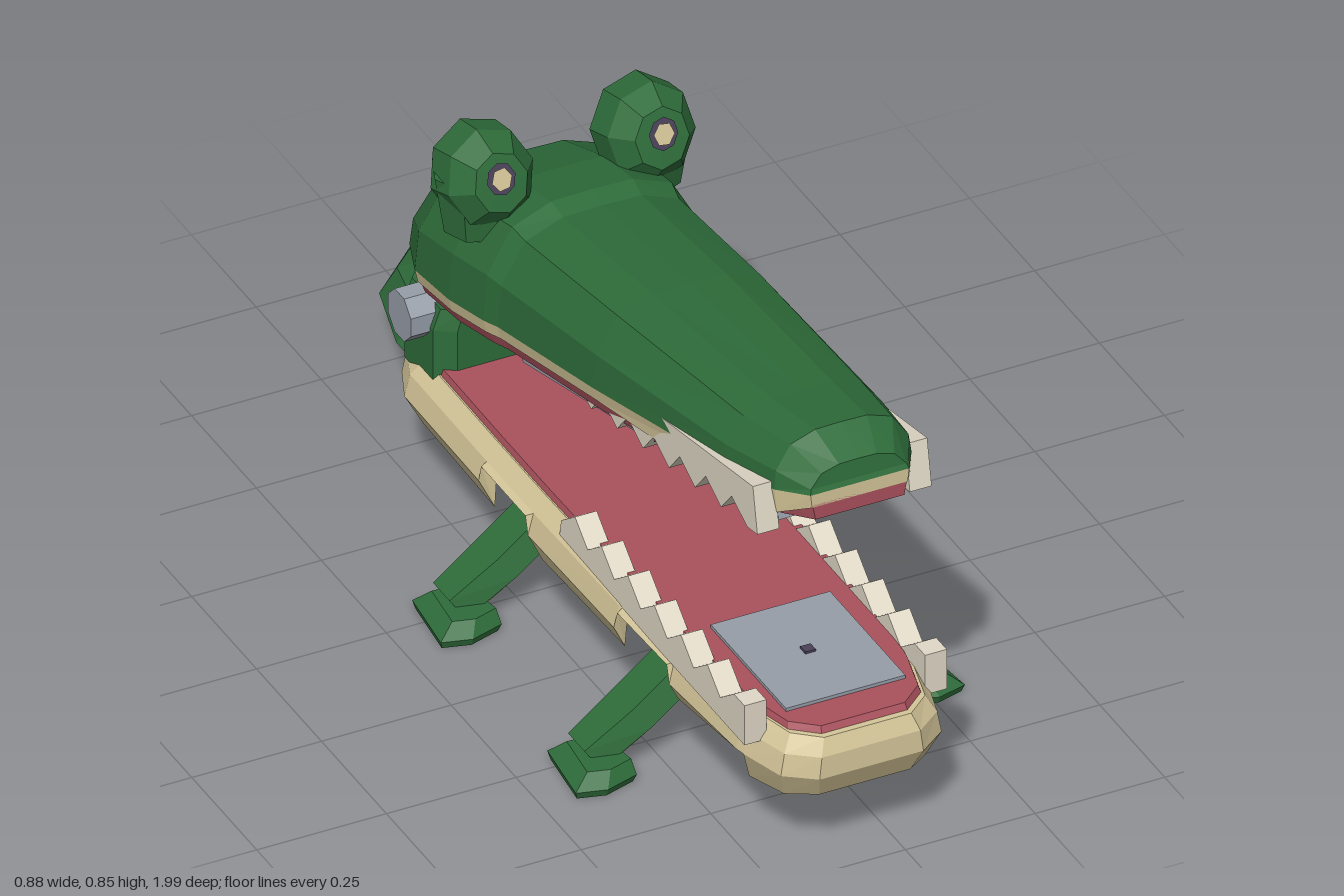
import * as THREE from 'three';

const mat = (name, color) => Object.assign(
  new THREE.MeshStandardMaterial({ color, flatShading: true, side: THREE.DoubleSide }), { name });

// Skin stretched over successive rows of [x, y, z] points
function skin(rows, closed = true, cap = false) {
  const pos = [];
  const n = rows[0].length;
  for (let r = 0; r < rows.length - 1; r++) {
    for (let i = 0; i < (closed ? n : n - 1); i++) {
      const j = (i + 1) % n, a = rows[r], b = rows[r + 1];
      pos.push(...a[i], ...a[j], ...b[j], ...a[i], ...b[j], ...b[i]);
    }
  }
  if (cap) {
    const top = rows[rows.length - 1];
    const c = [0, 1, 2].map(k => top.reduce((s, p) => s + p[k], 0) / n);
    top.forEach((p, i) => pos.push(...p, ...top[(i + 1) % n], ...c));
  }
  const g = new THREE.BufferGeometry();
  g.setAttribute('position', new THREE.Float32BufferAttribute(pos, 3));
  g.computeVertexNormals();
  return g;
}

// Mirrors one half of a plan into a full outline; first entry of each point is x
const mirror = half => [...half, ...half.slice().reverse().map(p => [-p[0], ...p.slice(1)])];

export function createModel() {
  const green = mat('green skin', 0x2e6c3a), cream = mat('cream belly', 0xd5c699),
    ivory = mat('ivory teeth', 0xe0d8c6), red = mat('red mouth', 0xa9515c),
    grey = mat('grey metal', 0x969da8), dark = mat('dark eye', 0x4a4258),
    brown = mat('brown hollow', 0x6f6450);
  const root = new THREE.Group();
  const body = new THREE.Group();
  body.name = 'crocodile';
  body.position.x = -0.065;
  root.add(body);
  const add = (name, geo, m, parent = body) => {
    const mesh = new THREE.Mesh(geo, m);
    mesh.name = name;
    parent.add(mesh);
    return mesh;
  };

  // Lower jaw: hollow shell with arches for the legs; plan entries are x, z, bottom y
  const plan = mirror([
    [0.1, 1, 0.145], [0.155, 0.96, 0.138], [0.182, 0.87, 0.13], [0.186, 0.85, 0.175],
    [0.2, 0.62, 0.15], [0.2, 0.61, 0.23], [0.205, 0.43, 0.23], [0.207, 0.42, 0.145],
    [0.212, 0.1, 0.14], [0.212, 0.09, 0.23], [0.212, -0.08, 0.23], [0.212, -0.09, 0.14],
    [0.21, -0.38, 0.145], [0.18, -0.45, 0.17], [0.11, -0.465, 0.18]]);
  const planRow = (sx, sz, y) => plan.map(([x, z, b]) => [x * sx, Math.max(y, b), 0.25 + (z - 0.25) * sz]);
  const jawBottom = planRow(0.88, 0.965, 0);
  add('lowerJaw', skin([jawBottom, planRow(1, 1, 0.195), planRow(0.95, 0.998, 0.238),
    planRow(0.84, 0.98, 0.269)], true, true), cream);
  add('chinUnderside', skin([[...jawBottom.slice(0, 3), ...jawBottom.slice(-3)]], true, true), cream);
  add('bellyHollow', skin([planRow(0.9, 0.96, 0.237)], true, true), brown);
  const tongueRow = (sx, sz, y) => planRow(sx, sz, y).map(([x, h, z]) => [x, h, Math.max(z, -0.31)]);
  add('tongue', skin([tongueRow(0.83, 0.965, 0.267), tongueRow(0.81, 0.955, 0.281)], true, true), red);
  add('lowerPlate', new THREE.BoxGeometry(0.23, 0.009, 0.29), grey).position.set(0, 0.283, 0.755);
  add('plateButton', new THREE.BoxGeometry(0.02, 0.006, 0.02), dark).position.set(0, 0.289, 0.755);

  // Upper jaw and head; entries are x, z, bottom y, top y
  const head = mirror([
    [0.095, 0.955, 0.73, 0.8], [0.132, 0.89, 0.715, 0.838], [0.155, 0.74, 0.683, 0.815],
    [0.187, 0.3, 0.588, 0.775], [0.2, -0.04, 0.514, 0.735], [0.208, -0.08, 0.506, 0.745],
    [0.215, -0.2, 0.48, 0.72], [0.205, -0.35, 0.448, 0.665], [0.165, -0.45, 0.43, 0.59],
    [0.1, -0.488, 0.425, 0.53]]);
  const headRow = (s, t, lift = 0) => head.map(([x, z, b, top]) =>
    [x * s, b + (top - b) * t + lift, 0.23 + (z - 0.23) * (1 - 0.012 * t)]);
  add('upperJaw', skin([headRow(1, 0, 0.026), headRow(0.97, 0.5), headRow(0.74, 0.86),
    headRow(0.38, 0.99), headRow(0, 1)]), green);
  // Lip: cream round the sides and deeper beside the snout, green at the back of the head
  const lipHigh = headRow(1, 0, 0.026);
  const lipLow = headRow(0.97, 0).map(([x, y, z]) => [x, y - (z > 0.6 && z < 0.92 ? 0.022 : 0), z]);
  const wrap = row => [...row.slice(-8), ...row.slice(0, 8)];
  add('upperLip', skin([wrap(lipLow), wrap(lipHigh)], false), cream);
  add('headRim', skin([lipLow.slice(7, 13), lipHigh.slice(7, 13)], false), green);
  const palateRow = (s, lift) => headRow(s, 0, lift).map(([x, y, z]) => [x, y, Math.max(z, -0.42)]);
  add('palate', skin([palateRow(0.96, 0.005), palateRow(0.9, -0.026), palateRow(0, -0.022)]), red);
  const plate = add('upperPlate', new THREE.BoxGeometry(0.23, 0.035, 1.02), grey);
  plate.position.set(0, 0.547, 0.375);
  plate.rotation.x = -0.262;

  // Saw-edged tooth rows: dir +1 points up, -1 points down
  function teeth(name, x, y, z, dir, tilt, base, valley, peak) {
    const count = 7, pitch = 0.102;
    const s = new THREE.Shape();
    s.moveTo(0, -base * dir);
    s.lineTo(0, peak * dir);
    for (let i = 0; i < count; i++) {
      s.lineTo(-(i + 0.4) * pitch, peak * dir);
      s.lineTo(-(i + 0.92) * pitch, valley * dir);
    }
    s.lineTo(-count * pitch, -base * dir);
    const geo = new THREE.ExtrudeGeometry(s, { depth: 0.042, bevelEnabled: false });
    geo.translate(0, 0, -0.021).rotateY(-Math.PI / 2);
    for (const side of [-1, 1]) {
      const t = add(name, geo, ivory);
      t.position.set(side * x, y, z);
      t.rotation.x = tilt;
    }
  }
  teeth('lowerTeeth', 0.174, 0.26, 0.9, 1, 0, 0.025, 0.018, 0.057);
  teeth('upperTeeth', 0.147, 0.718, 0.885, -1, -0.192, 0.034, 0.018, 0.057);

  // Eyes on upright stalks
  const eyeProfile = [[0, -0.08], [0.055, -0.078], [0.088, -0.03], [0.084, 0.035], [0.052, 0.078], [0, 0.08]]
    .map(p => new THREE.Vector2(...p));
  for (const side of [-1, 1]) {
    const eye = new THREE.Group();
    eye.name = 'eye';
    eye.position.set(side * 0.155, 0.757, -0.19);
    eye.rotation.set(-0.3, 0, side * -0.15);
    eye.scale.set(1, 1.1, 1);
    body.add(eye);
    add('eyeball', new THREE.LatheGeometry(eyeProfile, 8).rotateX(Math.PI / 2), green, eye);
    add('iris', new THREE.CircleGeometry(0.028, 8), dark, eye).position.set(0, 0.008, 0.083);
    add('pupil', new THREE.CircleGeometry(0.02, 6), cream, eye).position.set(0, 0.008, 0.086);
    add('eyeStalk', new THREE.CylinderGeometry(0.084, 0.066, 0.115, 8), green)
      .position.set(side * 0.16, 0.71, -0.195);
  }

  // Hinge block and pin
  const block = mirror([[0.15, -0.295], [0.185, -0.32], [0.185, -0.43], [0.15, -0.468]]);
  const blockRow = (s, y) => block.map(([x, z]) => [x * s, y, z]);
  add('hingeBlock', skin([blockRow(1, 0.24), blockRow(1, 0.36), blockRow(0.92, 0.4)], true, true), green);
  const pin = add('hingePin', new THREE.CylinderGeometry(0.048, 0.048, 0.444, 8), grey);
  pin.rotation.set(Math.PI / 8, 0, Math.PI / 2);
  pin.position.set(0, 0.37, -0.375);

  // Legs: green above, cream beneath, with flared feet
  const legPath = [[0.09, 0.172, 0.04], [0.14, 0.152, 0.054], [0.22, 0.09, 0.054], [0.31, 0.027, 0.045]];
  const legRows = pts => legPath.map(([x, y, w]) =>
    pts.map(([a, b]) => [x + b * 0.019, y + b * 0.026, a * w]));
  const foot = [[0.375, 0.09], [0.32, 0.105], [0.255, 0.085], [0.275, -0.045], [0.36, -0.05]];
  const footRow = (s, y, cx = 0.32) => foot.map(([x, z]) => [cx + (x - 0.32) * s, y, 0.03 + (z - 0.03) * s]);
  for (const z of [0.52, 0]) {
    for (const side of [-1, 1]) {
      const leg = new THREE.Group();
      leg.name = z > 0.2 ? 'frontLeg' : 'backLeg';
      leg.position.z = z;
      leg.scale.x = side;
      body.add(leg);
      add('legTop', skin(legRows([[1, -0.4], [0.7, 1], [-0.7, 1], [-1, -0.4]]), false), green, leg);
      add('legUnderside', skin(legRows([[-1, -0.4], [-0.6, -1], [0.6, -1], [1, -0.4]]), false), cream, leg);
      add('foot', skin([footRow(1, 0.015), footRow(0.72, 0.04, 0.305)], true, true), green, leg);
      add('sole', skin([footRow(1, 0.015), footRow(0.92, 0)], true, true), green, leg);
    }
  }

  // Tail: x, y, z, half width, half height; the cream reaches higher on the inner side of the bend
  const tail = [[0, 0.175, -0.41, 0.12, 0.045], [0.005, 0.155, -0.6, 0.115, 0.052],
    [0.035, 0.122, -0.77, 0.088, 0.05], [0.125, 0.095, -0.88, 0.075, 0.044],
    [0.265, 0.072, -0.945, 0.05, 0.036], [0.385, 0.06, -0.935, 0.04, 0.026], [0.503, 0.033, -0.866, 0.008, 0.005]];
  const tailRows = pts => tail.map(([x, y, z, w, h], i) => {
    const p = tail[Math.max(i - 1, 0)], q = tail[Math.min(i + 1, tail.length - 1)];
    const dx = q[0] - p[0], dz = q[2] - p[2], len = Math.hypot(dx, dz);
    return pts.map(([a, b]) => [x - a * w * dz / len, y + b * h, z + a * w * dx / len]);
  });
  add('tailTop', skin(tailRows([[1, 0], [0.65, 0.7], [0, 1], [-0.65, 0.7], [-1, -0.35]]), false), green);
  add('tailUnderside', skin(tailRows([[-1, -0.35], [-0.5, -1], [0.5, -1], [1, 0]]), false), cream);

  return root;
}
